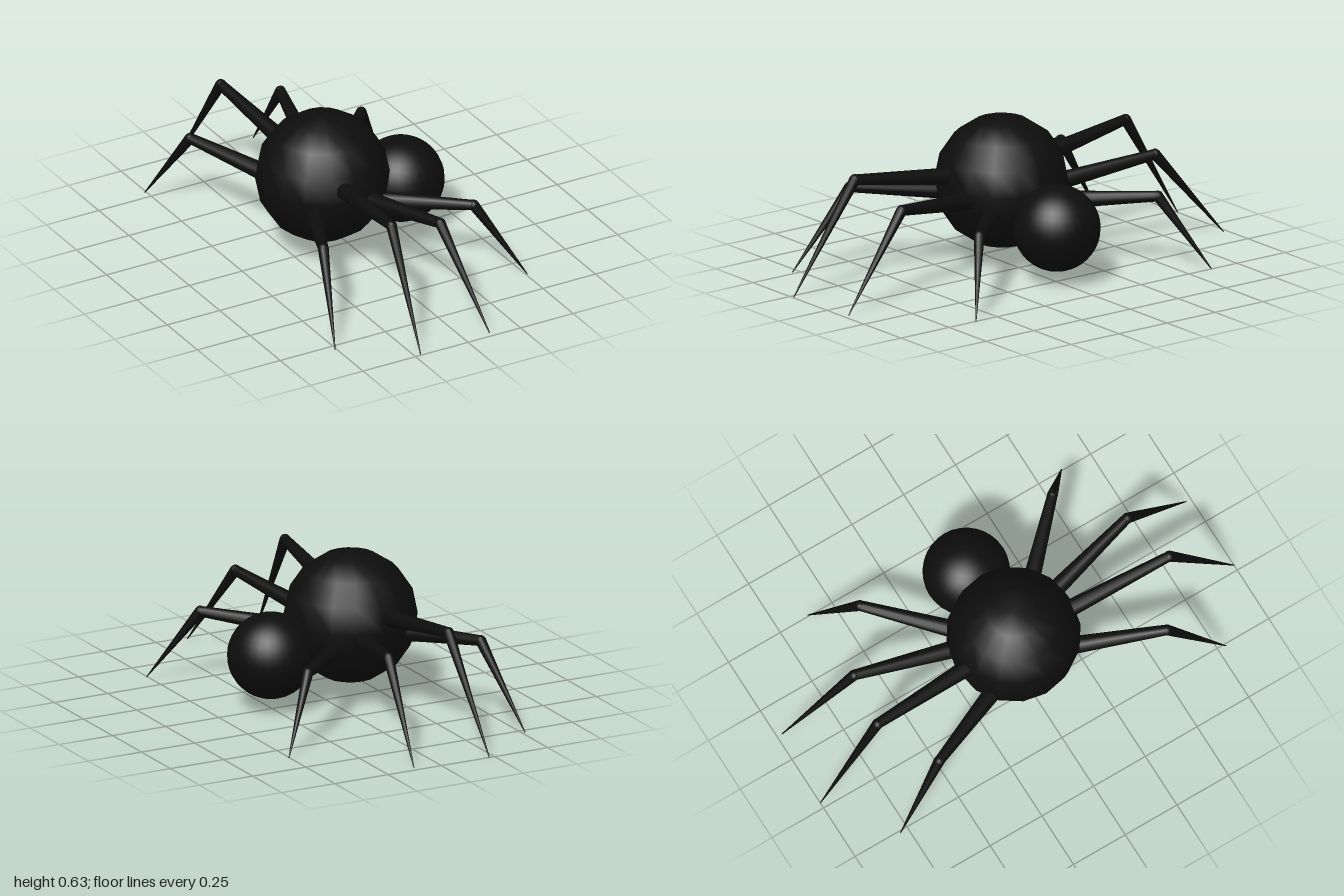
import * as THREE from 'three';

export function createModel() {
  const model = new THREE.Group();
  const black = new THREE.MeshStandardMaterial({ color: 0x0d0d0d });
  black.name = 'black';

  function ball(name, r, w, h, pos, parent = model) {
    const m = new THREE.Mesh(new THREE.SphereGeometry(r, w, h), black);
    m.name = name;
    m.position.copy(pos);
    parent.add(m);
  }

  // tapered limb from a to b
  function limb(name, a, b, ra, rb, parent) {
    const dir = b.clone().sub(a);
    const m = new THREE.Mesh(new THREE.CylinderGeometry(rb, ra, dir.length(), 12), black);
    m.name = name;
    m.position.copy(a).add(b).multiplyScalar(0.5);
    m.quaternion.setFromUnitVectors(new THREE.Vector3(0, 1, 0), dir.normalize());
    parent.add(m);
  }

  // coarse abdomen and finer head
  ball('abdomen', 0.28, 16, 8, new THREE.Vector3(-0.117, 0.35, 0));
  ball('head', 0.181, 32, 20, new THREE.Vector3(0.256, 0.233, 0));

  // root at the body surface, knee, foot
  const legs = [
    [[-0.285, 0.31, 0.22], [-0.43, 0.347, 0.55], [-0.51, 0.003, 0.787]],
    [[-0.16, 0.405, 0.27], [-0.195, 0.463, 0.705], [-0.225, 0.002, 1.0]],
    [[-0.03, 0.325, 0.26], [0.063, 0.383, 0.66], [0.116, 0.002, 0.977]],
    [[0.07, 0.274, 0.2], [0.335, 0.303, 0.465], [0.505, 0.003, 0.613]],
  ];
  for (const [side, label] of [[1, 'front'], [-1, 'back']]) {
    legs.forEach((points, i) => {
      const [root, knee, foot] = points.map(([x, y, z]) => new THREE.Vector3(x, y, z * side));
      const leg = new THREE.Group();
      leg.name = `${label}Leg${i + 1}`;
      const inner = root.clone().lerp(knee, -0.2); // buried in the abdomen
      limb('upperLeg', inner, knee, 0.039, 0.022, leg);
      ball('knee', 0.023, 12, 8, knee, leg);
      limb('lowerLeg', knee, foot, 0.023, 0.002, leg);
      model.add(leg);
    });
  }
  return model;
}
